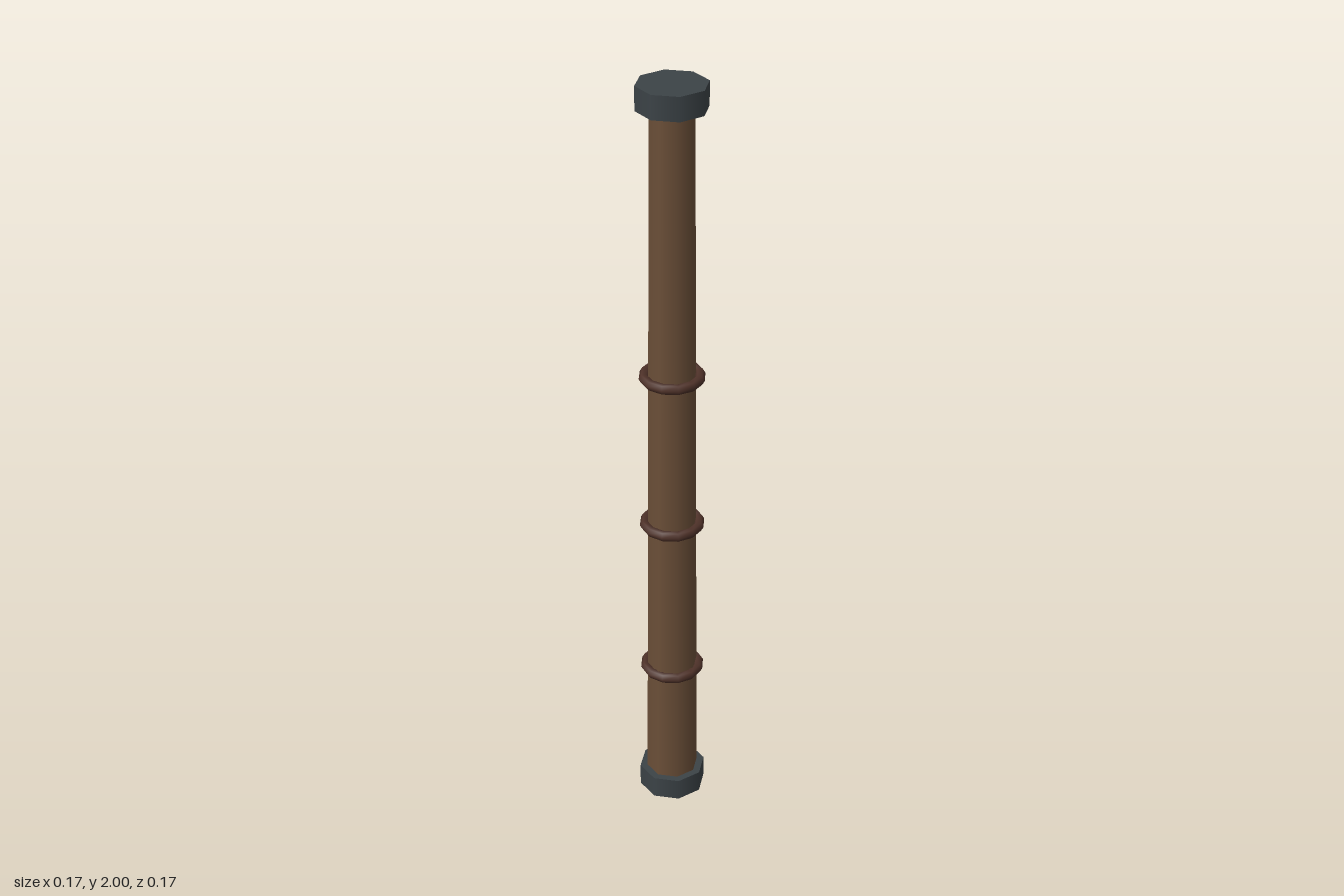
import * as THREE from 'three';

export function createModel() {
  const group = new THREE.Group();
  const wood = new THREE.MeshStandardMaterial({ color: 0x6b4f38 });
  const leather = new THREE.MeshStandardMaterial({ color: 0x4f3229 });
  const iron = new THREE.MeshStandardMaterial({ color: 0x3c4347 });

  const add = (name, geometry, material, y) => {
    const mesh = new THREE.Mesh(geometry, material);
    mesh.name = name;
    mesh.position.y = y;
    group.add(mesh);
    return mesh;
  };

  // Tapered wooden shaft
  add('shaft', new THREE.CylinderGeometry(0.054, 0.068, 1.96, 8), wood, 1);

  // Octagonal metal end caps
  const cap = new THREE.CylinderGeometry(0.087, 0.087, 0.06, 8);
  add('bottomCap', cap, iron, 0.03);
  add('topCap', cap, iron, 1.97);

  // Binding rings around the shaft
  const ring = new THREE.TorusGeometry(0.07, 0.013, 6, 12).rotateX(Math.PI / 2);
  [0.39, 0.83, 1.25].forEach((y, i) => add(`bindingRing${i + 1}`, ring, leather, y));

  return group;
}
